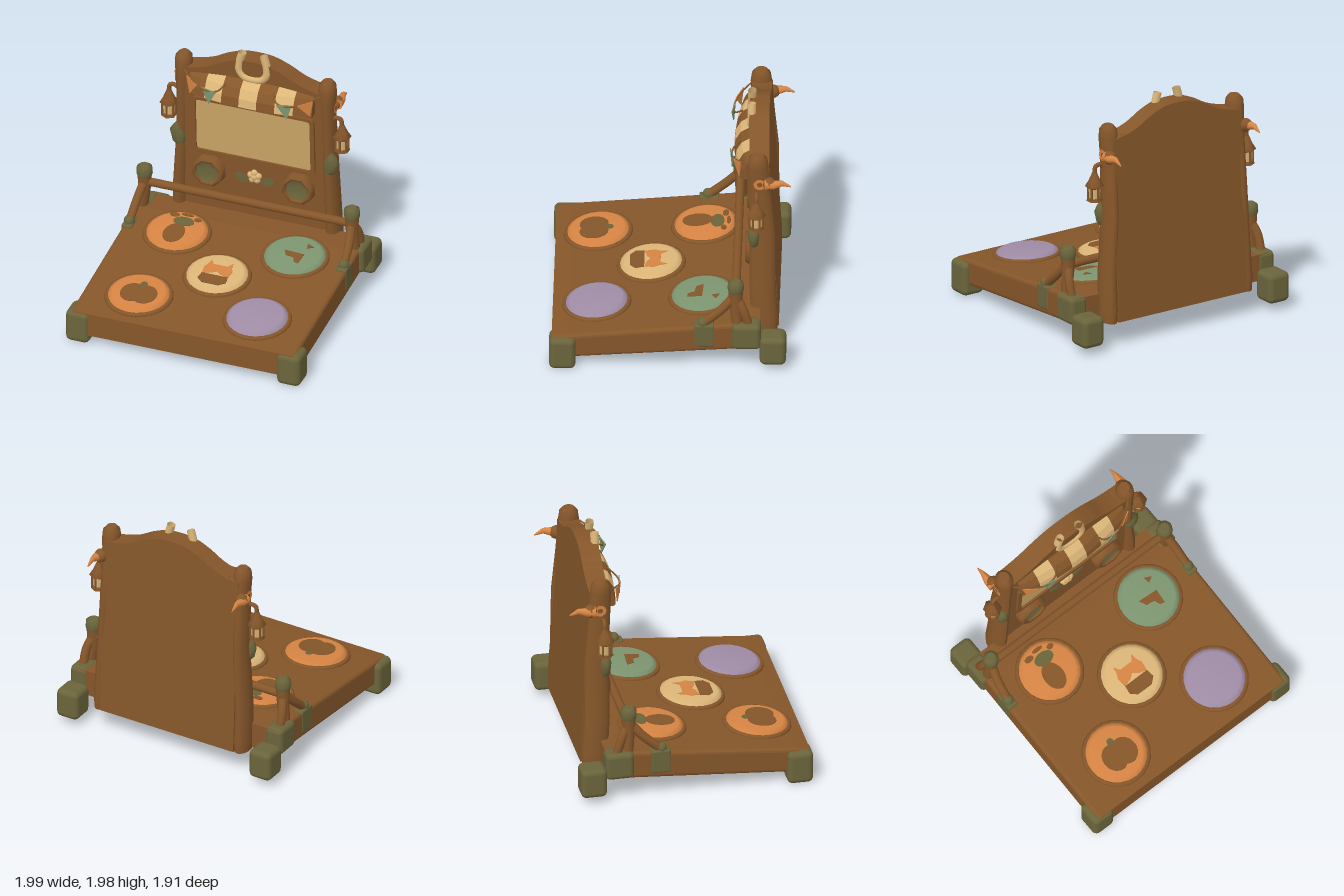
import * as THREE from 'three';
import { RoundedBoxGeometry } from 'three/addons/geometries/RoundedBoxGeometry.js';

const mat = (name, color) => {
  const m = new THREE.MeshStandardMaterial({ color, side: THREE.DoubleSide });
  m.name = name;
  return m;
};

export function createModel() {
  const root = new THREE.Group();
  root.name = 'danceMachine';
  const brown = mat('wood brown', 0x85562a), cream = mat('cream', 0xdcb678), gold = mat('screen tan', 0xcaa566);
  const moss = mat('moss', 0x6a643b), orange = mat('orange', 0xd68443);
  const green = mat('sage green', 0x7d9570), purple = mat('lilac', 0xa08ca6);

  const add = (name, geo, material, x = 0, y = 0, z = 0, parent = root) => {
    const m = new THREE.Mesh(geo, material);
    m.name = name;
    m.position.set(x, y, z);
    parent.add(m);
    return m;
  };
  const box = (w, h, d, r) => new RoundedBoxGeometry(w, h, d, 3, r);
  const v = (a) => new THREE.Vector3(...a);
  const tube = (pts, r, n = 20) => new THREE.TubeGeometry(new THREE.CatmullRomCurve3(pts.map(v)), n, r, 10);
  const poly = (pts) => new THREE.Shape(pts.map((p) => new THREE.Vector2(...p)));
  const ellipse = (x, y, rx, ry) => new THREE.Shape().absellipse(x, y, rx, ry, 0, Math.PI * 2);
  const plate = (shape, depth = 0.008) => new THREE.ExtrudeGeometry(shape, { depth, bevelEnabled: false, curveSegments: 12 });

  // Stacked elliptical rings, each row is [y, x, z, radiusX, radiusZ]
  const loft = (rows, sides = 14) => {
    const n = rows.length - 1;
    const g = new THREE.CylinderGeometry(1, 1, 1, sides, n);
    const p = g.attributes.position;
    for (let i = 0; i < p.count; i++) {
      const [y, x, z, rx, rz] = rows[Math.round((p.getY(i) + 0.5) * n)];
      p.setXYZ(i, x + p.getX(i) * rx, y, z + p.getZ(i) * rz);
    }
    g.computeVertexNormals();
    return g;
  };
  // Cabinet leans forward as it rises
  const lean = (g) => {
    const p = g.attributes.position;
    for (let i = 0; i < p.count; i++) p.setZ(i, p.getZ(i) + 0.05 * (p.getY(i) - 0.3));
    g.computeVertexNormals();
    return g;
  };
  const faceZ = (y) => -0.7 + 0.05 * (y - 0.3);

  // Sloping dance platform
  const slab = new THREE.ExtrudeGeometry(
    poly([[-0.93, 0.08], [-0.93, 0.28], [-0.8, 0.3], [0.5, 0.42], [0.72, 0.42], [0.72, 0.2]]),
    { depth: 1.84, bevelThickness: 0.03, bevelSize: 0.03, bevelOffset: -0.03, bevelSegments: 3 });
  slab.translate(0, 0, -0.92).rotateY(Math.PI / 2);
  add('platform', slab, brown);

  // Round step pads with inlaid pictures; shapes use (right, away) coordinates
  const dome = new THREE.LatheGeometry(
    [[0.25, -0.02], [0.245, 0.014], [0.21, 0.034], [0, 0.037]].map((p) => new THREE.Vector2(...p)), 24);
  const pads = [
    ['backLeftPad', 0.5, -0.26, green, [
      [poly([[0.06, 0.14], [0.12, 0.11], [0.07, 0.08]]), brown],
      [poly([[-0.09, 0.01], [0.08, 0], [0.07, -0.12], [0.03, -0.11], [0.01, -0.06], [-0.06, -0.05]]), brown]]],
    ['backRightPad', -0.5, -0.26, orange, [
      [ellipse(-0.005, -0.06, 0.085, 0.12), brown], [ellipse(0.02, 0.1, 0.085, 0.055), moss],
      [ellipse(-0.08, 0.165, 0.04, 0.025), brown], [ellipse(0.02, 0.19, 0.05, 0.016), brown],
      [ellipse(0.12, 0.15, 0.03, 0.022), brown]]],
    ['centrePad', 0, 0.16, cream, [
      [poly([[-0.12, 0.03], [-0.1, 0.07], [-0.09, 0.13], [-0.06, 0.08], [0.06, 0.08], [0.09, 0.13], [0.1, 0.07], [0.12, 0.03],
        [0.11, -0.05], [0.04, -0.03], [0, 0], [-0.04, -0.03], [-0.11, -0.05]]), orange],
      [poly([[-0.11, -0.05], [0.11, -0.05], [0.12, -0.12], [0.07, -0.165], [-0.07, -0.165], [-0.12, -0.12]]), brown]]],
    ['frontRightPad', -0.5, 0.59, orange, [
      [ellipse(-0.04, -0.03, 0.1, 0.115), brown], [ellipse(0.06, -0.03, 0.1, 0.115), brown],
      [ellipse(0.01, 0.09, 0.03, 0.035), moss]]],
    ['frontLeftPad', 0.5, 0.58, purple, []],
  ];
  for (const [name, x, z, color, art] of pads) {
    const pad = new THREE.Group();
    pad.name = name;
    pad.position.set(x, 0.374 - 0.092 * z, z);
    pad.rotation.x = 0.092;
    root.add(pad);
    add('padTop', dome, color, 0, 0.012, 0, pad);
    const rim = add('padRim', new THREE.TorusGeometry(0.255, 0.022, 8, 24), brown, 0, 0, 0, pad);
    rim.rotation.x = Math.PI / 2;
    art.forEach(([shape, c]) => add('padInlay', plate(shape).rotateX(-Math.PI / 2), c, 0, 0.044, 0, pad));
  }

  // Cabinet back board with arched top
  const arch = [[0.5, 1.74], [0.38, 1.78], [0.25, 1.85], [0.1, 1.9]];
  const board = poly([[-0.62, 0.2], [0.62, 0.2], [0.62, 1.72]]);
  board.splineThru([...arch, ...arch.map(([x, y]) => [-x, y]).reverse(), [-0.62, 1.72]].map((p) => new THREE.Vector2(...p)));
  add('cabinetBoard', lean(plate(board, 0.16).translate(0, 0, -0.86)), brown);

  // Screen and its frame
  const rounded = (x, y0, y1, r) => {
    const s = new THREE.Shape();
    s.moveTo(-x + r, y0).lineTo(x - r, y0).quadraticCurveTo(x, y0, x, y0 + r);
    s.lineTo(x, y1 - r).quadraticCurveTo(x, y1, x - r, y1).lineTo(-x + r, y1);
    s.quadraticCurveTo(-x, y1, -x, y1 - r).lineTo(-x, y0 + r).quadraticCurveTo(-x, y0, -x + r, y0);
    return s;
  };
  const frame = rounded(0.52, 0.935, 1.475, 0.05);
  frame.holes.push(rounded(0.485, 0.975, 1.45, 0.03));
  add('screenFrame', lean(plate(frame, 0.03).translate(0, 0, -0.705)), brown);
  add('screen', lean(plate(rounded(0.487, 0.972, 1.452, 0.03)).translate(0, 0, -0.7)), gold);

  // Flower badge and leaves
  const bz = faceZ(0.8);
  for (let i = 0; i < 5; i++) {
    const a = Math.PI / 2 + (i * Math.PI * 2) / 5;
    add('badgePetal', new THREE.SphereGeometry(0.03, 10, 8), cream, Math.cos(a) * 0.035, 0.8 + Math.sin(a) * 0.035, bz);
  }
  add('badgeCentre', new THREE.SphereGeometry(0.036, 10, 8), cream, 0, 0.8, bz);

  // Striped awning, bowed back toward its ends
  const section = poly([[-0.7, 1.74], [-0.62, 1.725], [-0.55, 1.68], [-0.51, 1.61], [-0.5, 1.54], [-0.52, 1.53], [-0.7, 1.56]]);
  for (let i = 0; i < 7; i++) {
    const g = new THREE.ExtrudeGeometry(section, { depth: 0.15, steps: 3, bevelEnabled: false });
    g.rotateY(-Math.PI / 2).translate((i - 3) * 0.15 + 0.075, 0, 0);
    const p = g.attributes.position;
    for (let k = 0; k < p.count; k++) p.setZ(k, p.getZ(k) - 0.22 * p.getX(k) ** 2);
    g.computeVertexNormals();
    add('awningStripe', g, i % 2 ? cream : brown);
  }

  // Horseshoe horns
  const horn = [[0.09, 1.97], [0.115, 1.87], [0.115, 1.8], [0.075, 1.75]];
  const hornPath = [...horn, [0, 1.735], ...horn.map(([x, y]) => [-x, y]).reverse()];
  add('horns', tube(hornPath.map(([x, y]) => [x, y, -0.64]), 0.034, 40), cream);

  // Safety rail
  add('railBar', new THREE.CylinderGeometry(0.034, 0.034, 1.74, 12).rotateZ(Math.PI / 2), brown, 0, 0.645, -0.53);

  for (const s of [1, -1]) {
    // Corner feet and mossy platform bands
    add('frontFoot', box(0.2, 0.28, 0.21, 0.045), moss, s * 0.895, 0.14, 0.845);
    add('backFoot', box(0.2, 0.25, 0.21, 0.045), moss, s * 0.895, 0.185, -0.825);
    add('railFoot', box(0.16, 0.23, 0.23, 0.04), moss, s * 0.905, 0.315, -0.615);
    add('mossBand', box(0.09, 0.2, 0.16, 0.015), moss, s * 0.91, 0.312, -0.28);

    // Rail posts with forked legs
    add('railPost', loft([[0.4, s * 0.9, -0.54, 0.045, 0.045], [0.58, s * 0.88, -0.53, 0.05, 0.05], [0.71, s * 0.88, -0.53, 0.057, 0.06]]), brown);
    add('railCap', loft([[0.7, s * 0.88, -0.53, 0.058, 0.06], [0.73, s * 0.88, -0.53, 0.066, 0.066], [0.78, s * 0.88, -0.53, 0.062, 0.062],
      [0.8, s * 0.88, -0.53, 0.035, 0.035]]), moss);
    add('railFrontLeg', tube([[s * 0.88, 0.64, -0.51], [s * 0.9, 0.54, -0.42], [s * 0.91, 0.4, -0.26]], 0.036), brown);
    add('railFrontLegEnd', new THREE.SphereGeometry(0.045, 12, 8), moss, s * 0.91, 0.42, -0.27);
    add('railBackLeg', tube([[s * 0.88, 0.64, -0.54], [s * 0.91, 0.54, -0.59], [s * 0.915, 0.38, -0.64]], 0.036), brown);

    // Cabinet posts
    add('cabinetPost', loft([
      [0.19, 0.65, -0.755, 0.06, 0.1], [0.3, 0.65, -0.755, 0.065, 0.107], [0.6, 0.645, -0.737, 0.06, 0.105],
      [1.1, 0.62, -0.737, 0.055, 0.102], [1.45, 0.615, -0.715, 0.057, 0.09], [1.6, 0.61, -0.705, 0.062, 0.088],
      [1.72, 0.61, -0.7, 0.073, 0.085], [1.79, 0.61, -0.7, 0.068, 0.075], [1.825, 0.61, -0.7, 0.04, 0.045],
    ].map(([y, x, ...r]) => [y, s * x, ...r])), brown);
    add('mossLeaf', loft([[0.98, s * 0.635, -0.67, 0.04, 0.03], [1.01, s * 0.64, -0.67, 0.06, 0.045], [1.09, s * 0.65, -0.67, 0.07, 0.05],
      [1.14, s * 0.645, -0.67, 0.045, 0.04], [1.2, s * 0.63, -0.67, 0.008, 0.01]], 8), moss);

    // Antler branch behind each post
    const branch = loft([[0, 0, 0, 0.045, 0.045], [0.07, 0, 0, 0.04, 0.035], [0.14, 0, 0.015, 0.02, 0.025], [0.21, 0, -0.015, 0.004, 0.006]], 8);
    add('branch', branch.rotateX(-Math.PI / 2), orange, s * 0.67, 1.58, -0.755);
    add('branchKnot', new THREE.SphereGeometry(0.055, 10, 8), brown, s * 0.655, 1.58, -0.79);
    add('postPatch', new THREE.RingGeometry(0.022, 0.05, 10).rotateY(s * Math.PI / 2), orange, s * 0.675, 1.58, -0.715);

    // Hanging lanterns
    const lantern = new THREE.Group();
    lantern.name = 'lantern';
    lantern.position.set(s * 0.735, 1.2, -0.69);
    root.add(lantern);
    add('bracket', tube([[-s * 0.1, 0.26, 0], [-s * 0.05, 0.3, 0], [-s * 0.01, 0.29, 0], [0, 0.22, 0]], 0.018), brown, 0, 0, 0, lantern);
    add('lanternRoof', loft([[0.115, 0, 0, 0.06, 0.06], [0.13, 0, 0, 0.075, 0.08], [0.18, 0, 0, 0.045, 0.048], [0.25, 0, 0, 0.016, 0.016]], 6), brown, 0, 0, 0, lantern);
    add('lanternLight', new THREE.CylinderGeometry(0.05, 0.046, 0.11, 6), cream, 0, 0.065, 0, lantern);
    add('lanternBase', new THREE.CylinderGeometry(0.058, 0.064, 0.025, 6), brown, 0, 0.018, 0, lantern);
    for (let i = 0; i < 6; i++) {
      const a = (i * Math.PI) / 3;
      add('lanternBar', new THREE.CylinderGeometry(0.009, 0.009, 0.11, 6), brown, Math.sin(a) * 0.052, 0.07, Math.cos(a) * 0.052, lantern);
    }

    // Speakers
    const ring = new THREE.LatheGeometry([[0.14, 0], [0.138, 0.06], [0.12, 0.085], [0.1, 0.08], [0.095, 0.05]].map((p) => new THREE.Vector2(...p)), 8);
    add('speakerRing', ring.rotateY(Math.PI / 8).rotateX(Math.PI / 2), brown, s * 0.38, 0.79, bz - 0.005);
    const cone = new THREE.LatheGeometry([[0.1, 0.06], [0.05, 0.04], [0, 0.045]].map((p) => new THREE.Vector2(...p)), 8);
    add('speakerCone', cone.rotateY(Math.PI / 8).rotateX(Math.PI / 2), moss, s * 0.38, 0.79, bz);
    add('badgeLeaf', plate(ellipse(0, 0, 0.06, 0.035)), moss, s * 0.11, 0.77, bz).rotation.z = s * 0.45;

    // Bunting
    add('buntingString', tube([[s * 0.58, 1.71, -0.62], [s * 0.48, 1.68, -0.54], [s * 0.36, 1.645, -0.49], [s * 0.25, 1.65, -0.5], [s * 0.2, 1.7, -0.56]], 0.007), brown);
    const flag = plate(poly([[-0.065, 0.01], [0.065, 0.01], [0.01, -0.12]]));
    add('orangeFlag', flag, orange, s * 0.48, 1.67, -0.535).rotation.set(0, s * 0.5, s * 0.25);
    add('greenFlag', flag, green, s * 0.32, 1.645, -0.49).rotation.set(0, s * 0.2, s * 0.08);
  }
  return root;
}
